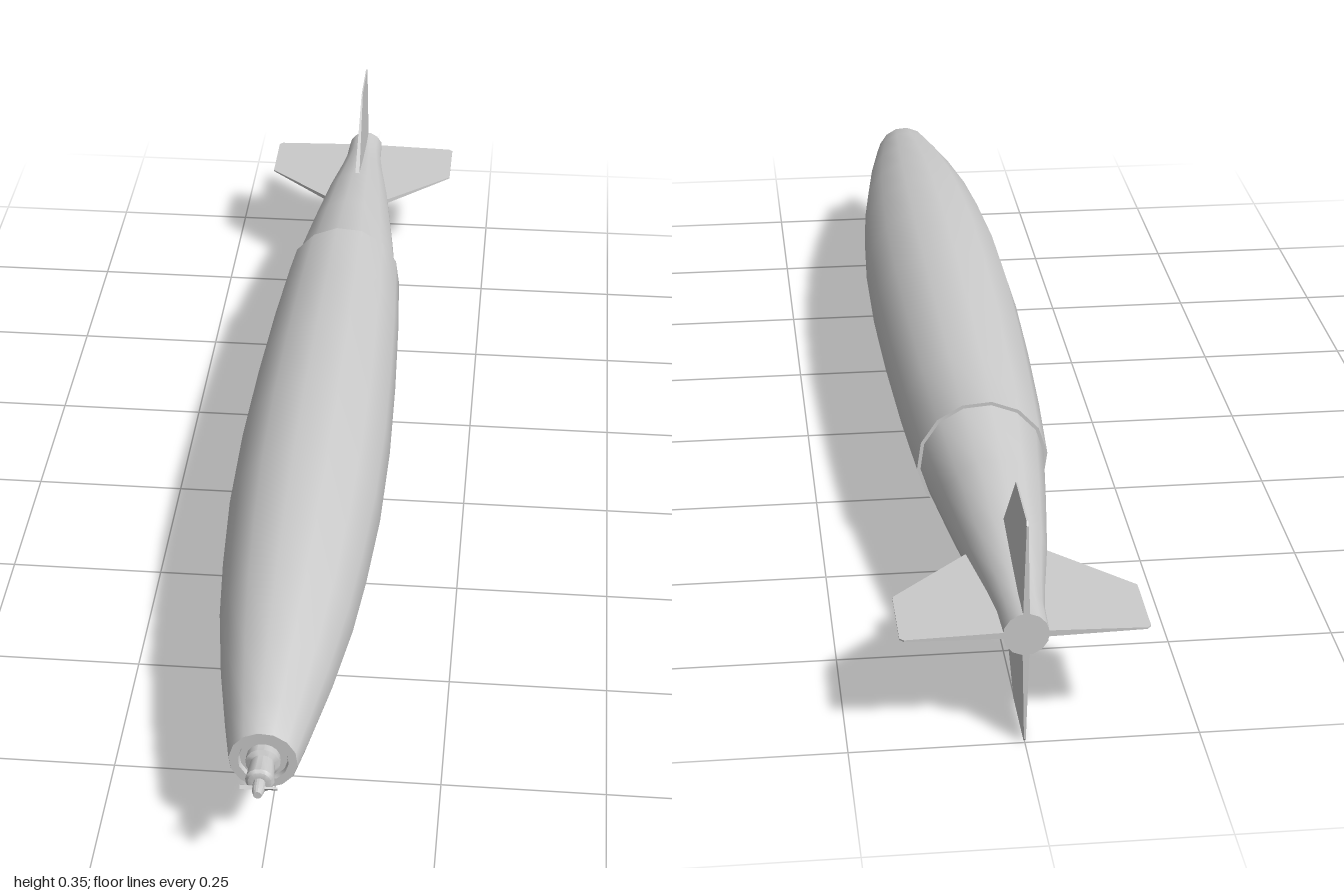
import * as THREE from 'three';
import { toCreasedNormals } from 'three/addons/utils/BufferGeometryUtils.js';

const AXIS_Y = 0.176;
const SIDES = 14;
const material = new THREE.MeshStandardMaterial({ color: 0xcccccc });

// Turned part along z: profile is [radius, z] from back to front
function turned(name, profile, sides = SIDES) {
  const points = profile.map(([r, z]) => new THREE.Vector2(r, z));
  const lathe = new THREE.LatheGeometry(points, sides, THREE.MathUtils.degToRad(85));
  lathe.rotateX(Math.PI / 2);
  const mesh = new THREE.Mesh(toCreasedNormals(lathe, THREE.MathUtils.degToRad(32)), material);
  mesh.name = name;
  return mesh;
}

// Tail fin in the x/z plane pointing to +x, thinning towards its outer edge
function finGeometry() {
  const tip = 0.176;
  const shape = new THREE.Shape();
  shape.moveTo(0.015, -1);
  shape.lineTo(tip - 0.006, -1);
  shape.lineTo(tip, -0.994);
  shape.lineTo(tip, -0.88);
  shape.lineTo(0.058, -0.77);
  shape.lineTo(0.015, -0.77);
  const geometry = new THREE.ExtrudeGeometry(shape, { depth: 2, bevelEnabled: false });
  geometry.translate(0, 0, -1);
  geometry.rotateX(Math.PI / 2);
  const pos = geometry.attributes.position;
  for (let i = 0; i < pos.count; i++) {
    const half = THREE.MathUtils.lerp(0.0055, 0.0012, pos.getX(i) / tip);
    pos.setY(i, pos.getY(i) * half);
  }
  geometry.computeVertexNormals();
  return geometry;
}

export function createModel() {
  const model = new THREE.Group();
  model.name = 'aerialBomb';
  const axis = new THREE.Group();
  axis.name = 'bodyAssembly';
  axis.position.y = AXIS_Y;
  model.add(axis);

  // Main casing with a shallow recess in its flat nose
  axis.add(turned('casing', [
    [0, -0.47], [0.103, -0.47], [0.113, -0.3], [0.121, -0.1], [0.1255, 0.1],
    [0.1235, 0.3], [0.114, 0.47], [0.103, 0.6], [0.084, 0.74], [0.063, 0.86],
    [0.051, 0.922], [0.05, 0.925], [0.037, 0.925], [0.035, 0.918], [0, 0.918],
  ]));

  // Tail cone, slightly narrower than the casing where they meet
  axis.add(turned('tailCone', [
    [0, -1], [0.033, -1], [0.035, -0.94], [0.043, -0.88], [0.061, -0.77],
    [0.08, -0.62], [0.098, -0.465], [0, -0.465],
  ]));

  // Four fins
  const fin = finGeometry();
  for (let i = 0; i < 4; i++) {
    const mesh = new THREE.Mesh(fin, material);
    mesh.name = 'tailFin' + (i + 1);
    mesh.rotation.z = i * Math.PI / 2;
    axis.add(mesh);
  }

  // Nose fuze
  axis.add(turned('fuze', [
    [0, 0.915], [0.025, 0.915], [0.025, 0.93], [0.018, 0.934], [0.021, 0.968],
    [0.017, 0.972], [0.009, 0.974], [0.009, 0.99], [0.006, 1], [0, 1],
  ], 16));

  // Small two-bladed arming vane, blades pitched in opposite directions
  for (const side of [-1, 1]) {
    const blade = new THREE.Mesh(new THREE.BoxGeometry(0.021, 0.006, 0.003), material);
    blade.name = side > 0 ? 'leftVaneBlade' : 'rightVaneBlade';
    blade.position.set(side * 0.0165, 0, 0.984);
    blade.rotation.x = side * 0.6;
    axis.add(blade);
  }

  return model;
}
